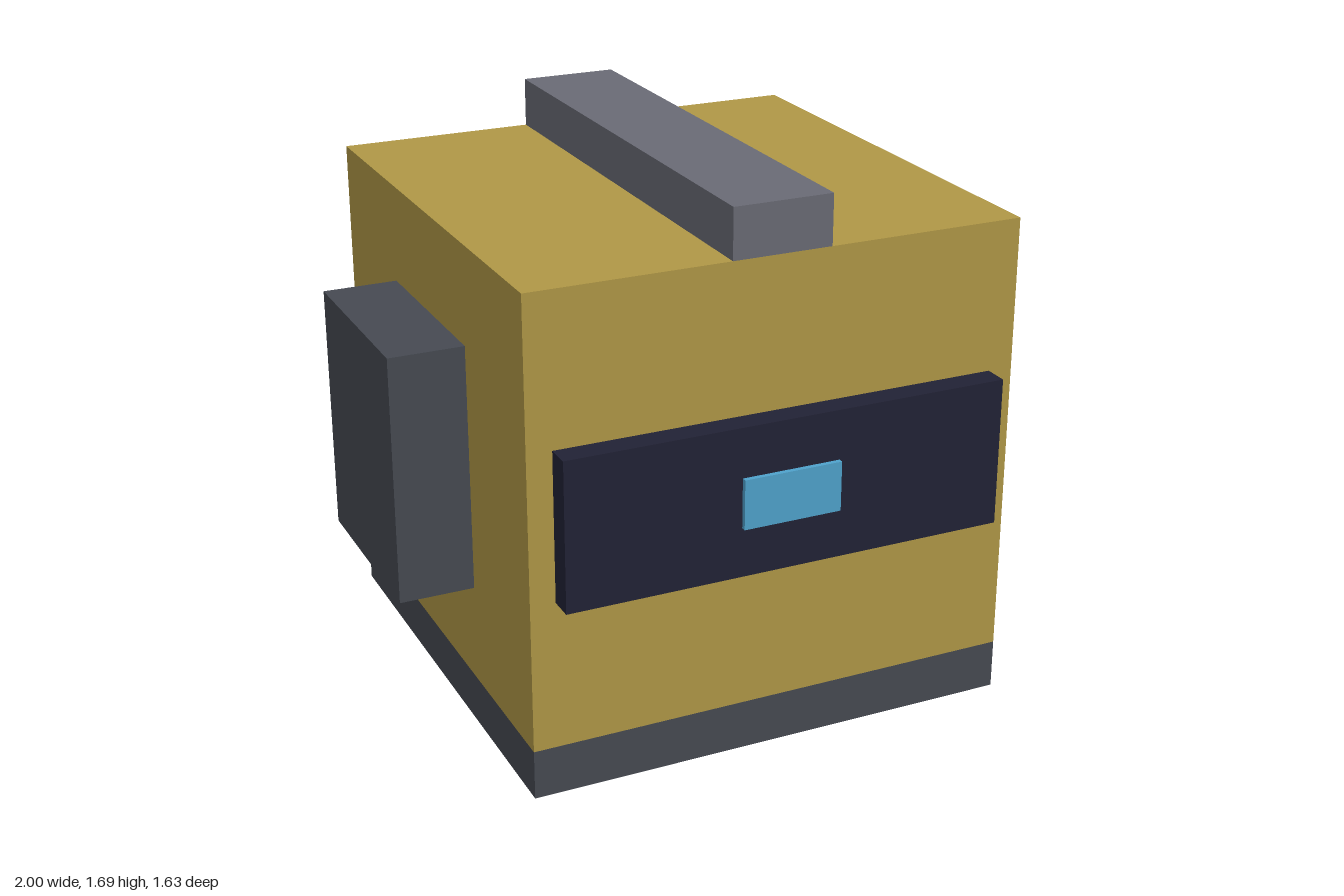
import * as THREE from 'three';

const U = 1 / 13; // grid unit: the whole model is 26 units wide

function material(name, color) {
  const m = new THREE.MeshStandardMaterial({ color });
  m.name = name;
  return m;
}

export function createModel() {
  const gold = material('gold', 0xb09846);
  const darkGrey = material('dark grey', 0x464a52);
  const midGrey = material('mid grey', 0x6a6b75);
  const navy = material('navy', 0x212235);
  const blue = material('light blue', 0x4fa2cc);

  const group = new THREE.Group();
  group.name = 'boxHead';

  // Adds a box given its extents in grid units
  function box(name, mat, [x0, x1], [y0, y1], [z0, z1]) {
    const mesh = new THREE.Mesh(
      new THREE.BoxGeometry((x1 - x0) * U, (y1 - y0) * U, (z1 - z0) * U), mat);
    mesh.position.set((x0 + x1) * U / 2, (y0 + y1) * U / 2, (z0 + z1) * U / 2);
    mesh.name = name;
    group.add(mesh);
  }

  const back = -10.6, front = 9.4;

  // Head block on its dark base band
  box('base', darkGrey, [-10, 10], [0, 2], [back, front]);
  box('head', gold, [-10, 10], [2, 20], [back, front]);

  // Crest running front to back along the top
  box('crest', midGrey, [-2, 2], [20, 22], [back, front]);

  // Visor and its lit eye
  box('visor', navy, [-9, 9], [8, 14], [front, front + 1]);
  box('eye', blue, [-2, 2], [10, 12], [front + 1, front + 1.2]);

  // Side pods
  box('leftPod', darkGrey, [10, 13], [6, 16], [-4.6, 3.4]);
  box('rightPod', darkGrey, [-13, -10], [6, 16], [-4.6, 3.4]);

  return group;
}
